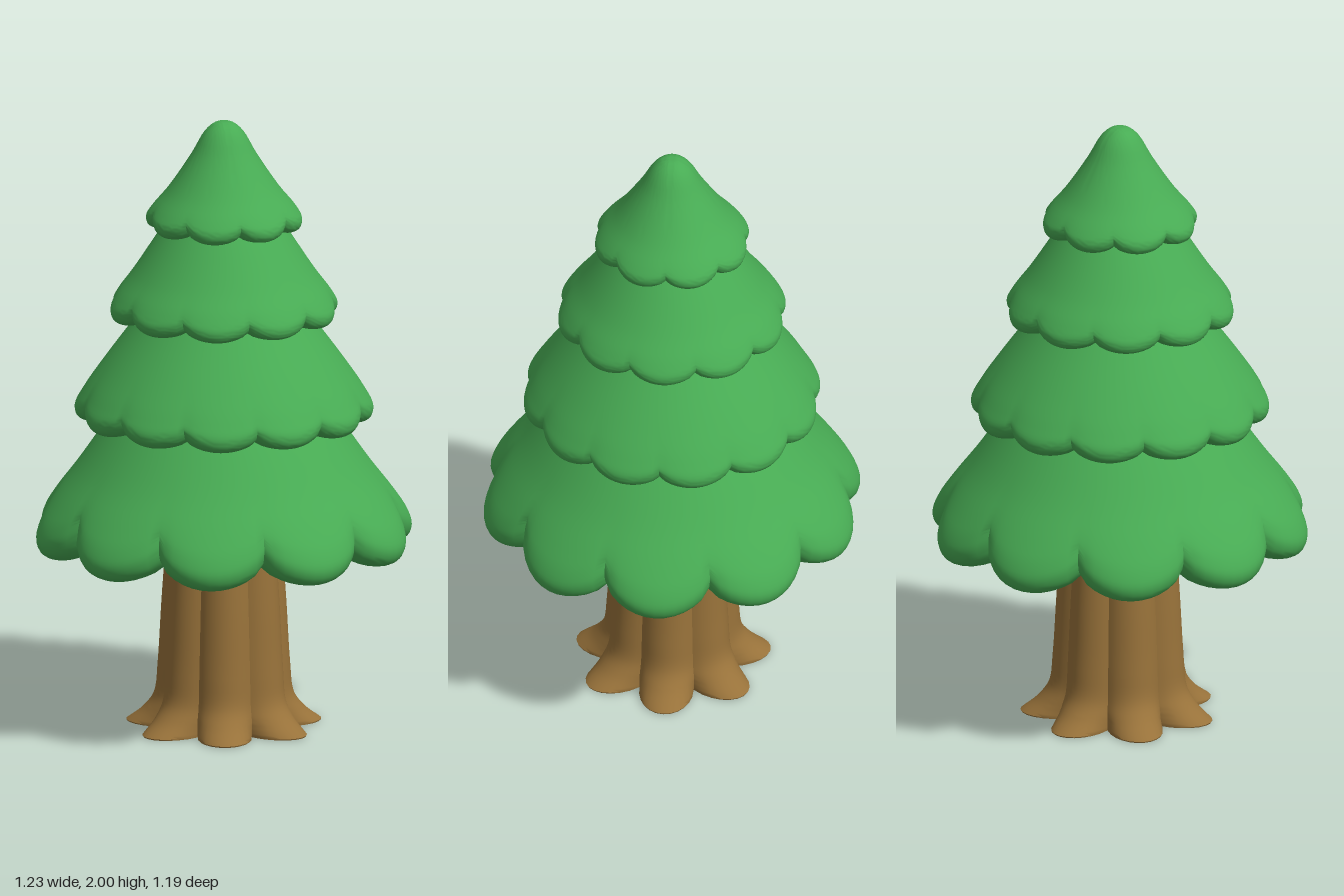
import * as THREE from 'three';
import { toCreasedNormals } from 'three/addons/utils/BufferGeometryUtils.js';

// Lathe-like surface with n scalloped lobes. Profile rows run from top to
// bottom: [radius at lobe, height, depth of the notch between lobes].
function lobedSurface(rows, n, notchAngle, lift, power) {
  const segs = n * 12;
  const pos = [], index = [];
  rows.forEach(([r, y, w]) => {
    for (let j = 0; j < segs; j++) {
      const a = (j / segs) * Math.PI * 2;
      const s = Math.pow(Math.abs(Math.sin((n / 2) * (a - notchAngle))), power);
      const rr = Math.max(r - w * (1 - s), 0);
      pos.push(rr * Math.cos(a), y + lift * w * (1 - s), rr * Math.sin(a));
    }
  });
  for (let i = 0; i < rows.length - 1; i++) {
    for (let j = 0; j < segs; j++) {
      const k = (j + 1) % segs;
      const a = i * segs + j, b = a + segs, c = i * segs + k, d = c + segs;
      if (rows[i][0] > 0) index.push(a, c, b);
      if (rows[i + 1][0] > 0) index.push(c, d, b);
    }
  }
  const geo = new THREE.BufferGeometry();
  geo.setAttribute('position', new THREE.Float32BufferAttribute(pos, 3));
  geo.setIndex(index);
  return toCreasedNormals(geo, 0.8);
}

// Smooth a short profile into closely spaced rows
function smoothRows(points, steps) {
  const curve = new THREE.CatmullRomCurve3(points.map((p) => new THREE.Vector3(...p)));
  return curve.getPoints(steps).map((v) => [Math.max(v.x, 0), v.y, Math.max(v.z, 0)]);
}

export function createModel() {
  const tree = new THREE.Group();
  tree.name = 'pineTree';
  const leaf = new THREE.MeshStandardMaterial({ color: 0x48ac54, side: THREE.DoubleSide });
  leaf.name = 'leaf green';
  const bark = new THREE.MeshStandardMaterial({ color: 0x98723a });
  bark.name = 'bark brown';

  // Foliage tiers: outer slope, rounded rim, then the hollow underside
  const tiers = [
    { name: 'bottomTier', lobes: 10, profile: [
      [0.27, 1.14, 0], [0.37, 1.01, 0], [0.475, 0.86, 0.004], [0.555, 0.755, 0.025], [0.6, 0.685, 0.055],
      [0.615, 0.635, 0.065], [0.6, 0.597, 0.065], [0.55, 0.582, 0.06],
      [0.5, 0.615, 0.04], [0.4, 0.75, 0.01], [0.17, 0.95, 0]] },
    { name: 'lowerMiddleTier', lobes: 12, profile: [
      [0.2, 1.46, 0], [0.28, 1.35, 0], [0.39, 1.2, 0.001], [0.455, 1.105, 0.012],
      [0.48, 1.055, 0.024], [0.47, 1.022, 0.028], [0.435, 1.01, 0.026],
      [0.39, 1.04, 0.01], [0.29, 1.1, 0]] },
    { name: 'upperMiddleTier', lobes: 10, profile: [
      [0.12, 1.76, 0], [0.2, 1.645, 0], [0.295, 1.5, 0.001], [0.35, 1.425, 0.01],
      [0.37, 1.385, 0.022], [0.362, 1.357, 0.026], [0.33, 1.347, 0.024],
      [0.29, 1.375, 0.01], [0.2, 1.44, 0]] },
    { name: 'topTier', lobes: 8, profile: [
      [0, 2, 0], [0.03, 1.993, 0], [0.062, 1.965, 0], [0.105, 1.89, 0], [0.18, 1.777, 0.001],
      [0.235, 1.71, 0.008], [0.252, 1.68, 0.018], [0.245, 1.652, 0.022],
      [0.215, 1.642, 0.02], [0.18, 1.668, 0.008], [0.12, 1.73, 0]] },
  ];
  for (const { name, lobes, profile } of tiers) {
    const geo = lobedSurface(smoothRows(profile, 40), lobes, Math.PI / 2, 1, 0.7);
    const mesh = new THREE.Mesh(geo, leaf);
    mesh.name = name;
    tree.add(mesh);
  }

  // Ridged trunk flaring into seven roots, closed by a flat base
  const trunkRows = smoothRows([
    [0.165, 1.0, 0.015], [0.19, 0.6, 0.024], [0.204, 0.4, 0.026], [0.216, 0.2, 0.028],
    [0.228, 0.1, 0.035], [0.262, 0.05, 0.06], [0.32, 0.004, 0.12]], 30);
  trunkRows.push([0.318, 0, 0.12], [0, 0, 0]);
  const trunk = new THREE.Mesh(lobedSurface(trunkRows, 7, Math.PI / 7, 0, 0.9), bark);
  trunk.name = 'trunk';
  tree.add(trunk);

  return tree;
}
